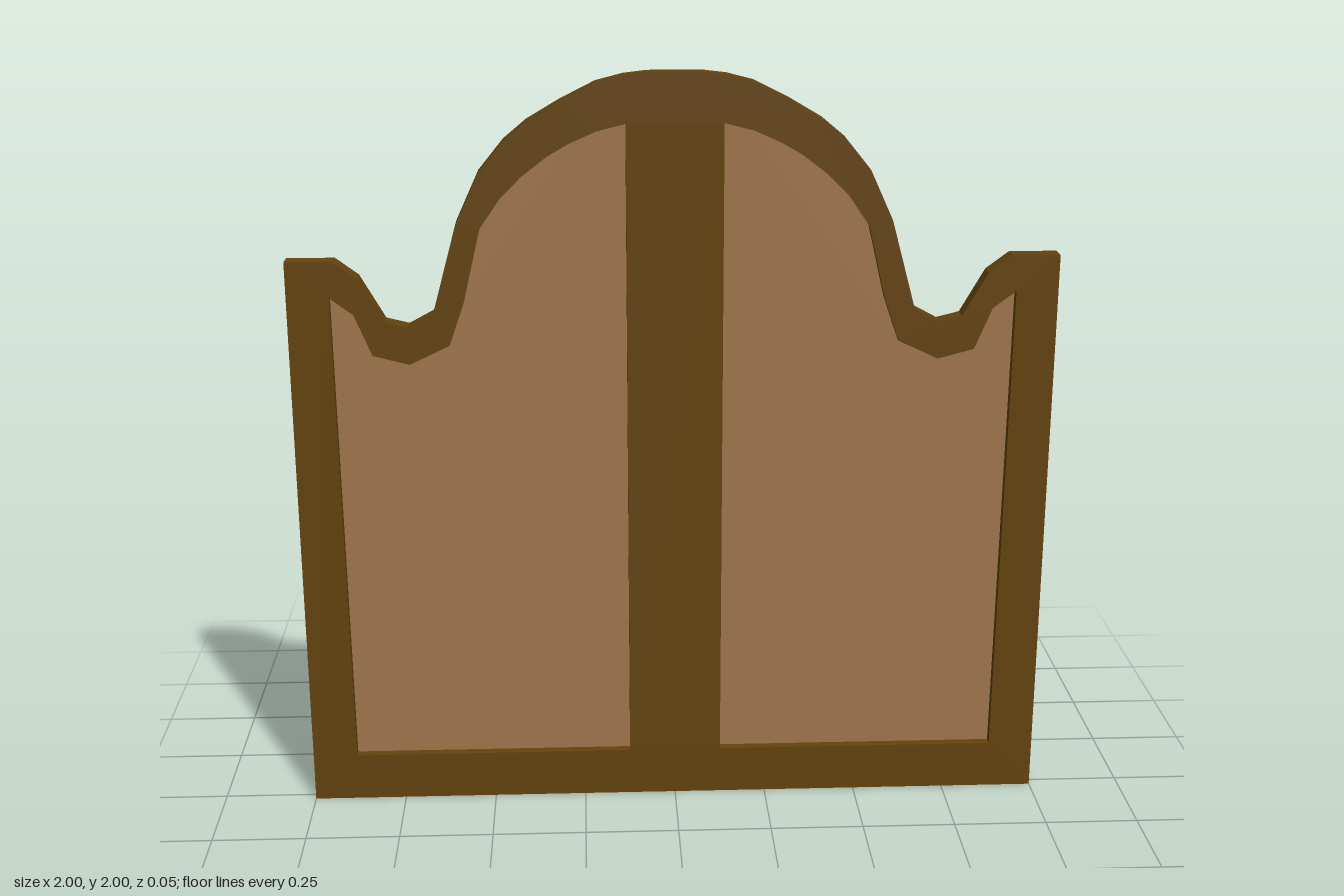
import * as THREE from 'three';

const DEPTH = 0.05;

// Right half of the outer outline, from the bottom corner to the crown
const OUTER = [
  [1, 0], [1, 1.525], [0.875, 1.525], [0.815, 1.48], [0.75, 1.365], [0.69, 1.35],
  [0.625, 1.385], [0.56, 1.62], [0.5, 1.75], [0.435, 1.83], [0.375, 1.88],
  [0.29, 1.93], [0.2, 1.975], [0.13, 1.993], [0.07, 2],
];

// Opening on the +x side, counter-clockwise
const OPENING = [
  [0.125, 0.13], [0.88, 0.13], [0.89, 1.43], [0.83, 1.385], [0.785, 1.275], [0.69, 1.25],
  [0.585, 1.3], [0.545, 1.415], [0.5, 1.605], [0.445, 1.685], [0.39, 1.74],
  [0.325, 1.79], [0.27, 1.822], [0.2, 1.853], [0.125, 1.872],
];

const toPoints = (list) => list.map(([x, y]) => new THREE.Vector2(x, y));
const mirror = (list) => list.map(([x, y]) => [-x, y]).reverse();

export function createModel() {
  const group = new THREE.Group();
  const openings = { left: OPENING, right: mirror(OPENING) };

  // Frame: arched board with a central post between two openings
  const outline = new THREE.Shape(toPoints([...OUTER, ...mirror(OUTER)]));
  outline.holes = Object.values(openings).map((list) => new THREE.Path(toPoints(list)));
  const frameGeometry = new THREE.ExtrudeGeometry(outline, { depth: DEPTH, bevelEnabled: false });
  frameGeometry.translate(0, 0, -DEPTH / 2);
  const frame = new THREE.Mesh(
    frameGeometry,
    new THREE.MeshStandardMaterial({ color: 0x64430d, flatShading: true }),
  );
  frame.name = 'frame';
  group.add(frame);

  // Thin panels set in the middle of the frame's depth
  const panelMaterial = new THREE.MeshStandardMaterial({ color: 0xa0764c, side: THREE.DoubleSide });
  for (const [side, list] of Object.entries(openings)) {
    const panel = new THREE.Mesh(new THREE.ShapeGeometry(new THREE.Shape(toPoints(list))), panelMaterial);
    panel.name = `${side}Panel`;
    group.add(panel);
  }
  return group;
}
